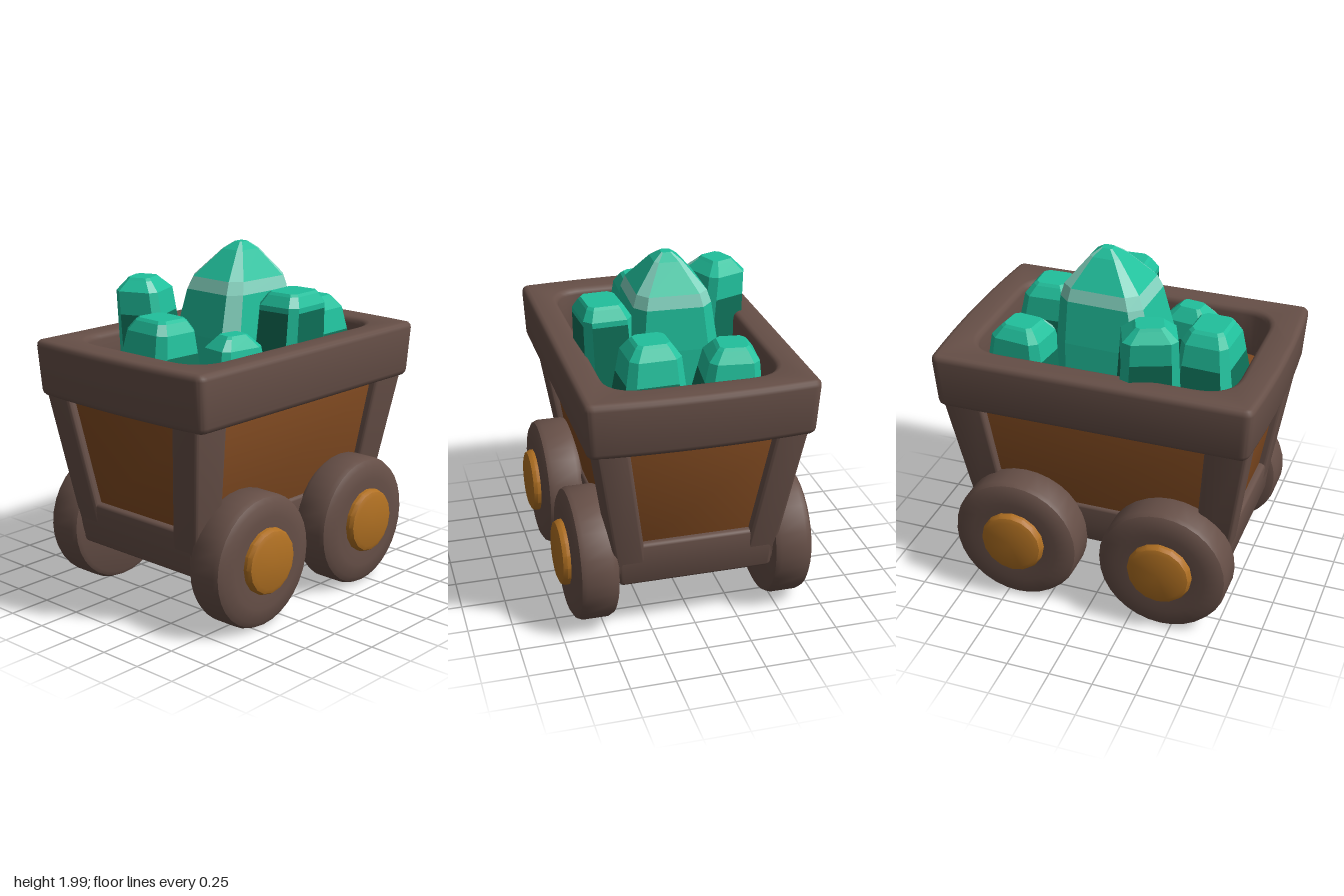
import * as THREE from 'three';
import { mergeVertices, toCreasedNormals } from 'three/addons/utils/BufferGeometryUtils.js';
import { RoundedBoxGeometry } from 'three/addons/geometries/RoundedBoxGeometry.js';

const mat = (name, color) => {
  const m = new THREE.MeshStandardMaterial({ color });
  m.name = name;
  return m;
};

const add = (parent, name, geometry, material) => {
  const mesh = new THREE.Mesh(geometry, material);
  mesh.name = name;
  parent.add(mesh);
  return mesh;
};

function smooth(geometry, angle = 0.7) {
  geometry.deleteAttribute('normal');
  geometry.deleteAttribute('uv');
  return toCreasedNormals(mergeVertices(geometry, 1e-4), angle);
}

// Rounded block between two rectangles, each [xMin, xMax, zMin, zMax]
function taperedBlock(y0, y1, low, high, radius) {
  const g = new RoundedBoxGeometry(high[1] - high[0], y1 - y0, high[3] - high[2], 3, radius);
  const p = g.attributes.position;
  const w = high[1] - high[0], d = high[3] - high[2];
  for (let i = 0; i < p.count; i++) {
    const t = p.getY(i) / (y1 - y0) + 0.5;
    const r = low.map((v, k) => v + (high[k] - v) * t);
    const u = p.getX(i) / w + 0.5, v = p.getZ(i) / d + 0.5;
    p.setXYZ(i, r[0] + (r[1] - r[0]) * u, y0 + (y1 - y0) * t, r[2] + (r[3] - r[2]) * v);
  }
  return smooth(g);
}

// Thick rim with softly bowed ends and a rounded opening
function rimGeometry() {
  const s = new THREE.Shape();
  s.moveTo(-0.86, -0.64);
  s.lineTo(0.86, -0.64);
  s.quadraticCurveTo(0.91, -0.64, 0.915, -0.59);
  s.quadraticCurveTo(0.965, 0, 0.915, 0.59);
  s.quadraticCurveTo(0.91, 0.64, 0.86, 0.64);
  s.lineTo(-0.86, 0.64);
  s.quadraticCurveTo(-0.91, 0.64, -0.915, 0.59);
  s.quadraticCurveTo(-0.965, 0, -0.915, -0.59);
  s.quadraticCurveTo(-0.91, -0.64, -0.86, -0.64);
  const h = new THREE.Path(), x = 0.75, z = 0.475, r = 0.2;
  h.moveTo(-x + r, -z);
  h.lineTo(x - r, -z);
  h.quadraticCurveTo(x, -z, x, -z + r);
  h.lineTo(x, z - r);
  h.quadraticCurveTo(x, z, x - r, z);
  h.lineTo(-x + r, z);
  h.quadraticCurveTo(-x, z, -x, z - r);
  h.lineTo(-x, -z + r);
  h.quadraticCurveTo(-x, -z, -x + r, -z);
  s.holes.push(h);
  const b = 0.035;
  const g = new THREE.ExtrudeGeometry(s, {
    depth: 0.32 - 2 * b, bevelThickness: b, bevelSize: b, bevelOffset: -b, bevelSegments: 3, curveSegments: 8,
  });
  g.rotateX(-Math.PI / 2).translate(0, 1.18 + b, 0);
  // Narrow slightly toward the bottom
  const p = g.attributes.position;
  for (let i = 0; i < p.count; i++) {
    const k = 1 - 0.025 * (1.5 - p.getY(i)) / 0.32;
    p.setX(i, p.getX(i) * k);
    p.setZ(i, p.getZ(i) * k);
  }
  return smooth(g);
}

// Faceted crystal from chamfered square rings; levels are [y, scale],
// shade(level, side) picks a material index, odd sides are the chamfers
function crystalGeometry({ base, top, half, turn = 0, levels, shade }) {
  const c = 0.72;
  const square = [[1, -c], [1, c], [c, 1], [-c, 1], [-1, c], [-1, -c], [-c, -1], [c, -1]];
  const y0 = levels[0][0], y1 = levels[levels.length - 1][0];
  const rings = levels.map(([y, s]) => {
    const t = (y - y0) / (y1 - y0);
    const cx = base[0] + (top[0] - base[0]) * t, cz = base[1] + (top[1] - base[1]) * t;
    return square.map(([u, v]) => {
      const x = u * half[0] * s, z = v * half[1] * s;
      return [cx + x * Math.cos(turn) + z * Math.sin(turn), y, cz - x * Math.sin(turn) + z * Math.cos(turn)];
    });
  });
  const faces = [[], [], []];
  for (let k = 0; k < rings.length - 1; k++) {
    for (let j = 0; j < 8; j++) {
      const n = (j + 1) % 8, lo = rings[k], up = rings[k + 1];
      faces[shade(k, j)].push(...lo[j], ...up[j], ...lo[n], ...lo[n], ...up[j], ...up[n]);
    }
  }
  const cap = rings[rings.length - 1];
  for (let j = 1; j < 7; j++) faces[0].push(...cap[0], ...cap[j + 1], ...cap[j]);
  const g = new THREE.BufferGeometry();
  g.setAttribute('position', new THREE.Float32BufferAttribute(faces.flat(), 3));
  let start = 0;
  faces.forEach((f, i) => {
    g.addGroup(start, f.length / 3, i);
    start += f.length / 3;
  });
  g.computeVertexNormals();
  return g;
}

export function createModel() {
  const group = new THREE.Group();
  group.name = 'crystalCart';
  const frame = mat('darkWood', 0x664f47);
  const panel = mat('orangeWood', 0x7f4920);
  const brass = mat('brass', 0xb07022);
  const gems = [mat('teal', 0x20c09c), mat('deepTeal', 0x0e7058), mat('paleTeal', 0x84d4c0)];

  // Cart body
  add(group, 'rim', rimGeometry(), frame);
  add(group, 'panels', taperedBlock(0.45, 1.22, [-0.72, 0.72, -0.42, 0.42], [-0.84, 0.84, -0.535, 0.535], 0.01), panel);
  add(group, 'base', taperedBlock(0.32, 0.58, [-0.76, 0.76, -0.435, 0.435], [-0.78, 0.78, -0.46, 0.46], 0.03), frame);
  for (const sx of [1, -1]) {
    for (const sz of [1, -1]) {
      const rect = (x0, x1, z0, z1) => [
        ...[x0 * sx, x1 * sx].sort((a, b) => a - b),
        ...[z0 * sz, z1 * sz].sort((a, b) => a - b),
      ];
      add(group, 'cornerPost',
        taperedBlock(0.36, 1.26, rect(0.56, 0.755, 0.27, 0.445), rect(0.65, 0.892, 0.405, 0.59), 0.025), frame);
    }
  }

  // Wheels with brass hubs
  const lathe = (pts, n) => smooth(new THREE.LatheGeometry(pts.map(([r, y]) => new THREE.Vector2(r, y)), n).rotateX(Math.PI / 2), 0.6);
  const wheelGeo = lathe([[0, 0], [0.34, 0], [0.363, 0.012], [0.377, 0.04], [0.377, 0.185], [0.365, 0.212],
    [0.335, 0.23], [0.26, 0.24], [0.19, 0.235], [0, 0.235]], 32);
  const hubGeo = lathe([[0, 0.2], [0.187, 0.2], [0.187, 0.255], [0.175, 0.277], [0.15, 0.287], [0, 0.287]], 16);
  for (const x of [-0.44, 0.44]) {
    for (const sz of [1, -1]) {
      const wheel = new THREE.Group();
      wheel.name = 'wheel';
      add(wheel, 'tyre', wheelGeo, frame);
      add(wheel, 'hub', hubGeo, brass).position.y = 0.015;
      wheel.position.set(x, 0.385, sz * 0.44);
      if (sz < 0) wheel.rotation.y = Math.PI;
      group.add(wheel);
    }
  }

  // Large pointed crystal with pale worn edges
  add(group, 'largeCrystal', crystalGeometry({
    base: [0.02, -0.02], top: [0.1, 0], half: [0.31, 0.275], turn: -0.04,
    levels: [[1.18, 1], [1.5, 0.91], [1.74, 0.79], [1.81, 0.71], [1.96, 0.28], [2, 0.1]],
    shade: (k, j) => (k === 2 || (k >= 3 && j % 2) || (k < 3 && (j === 3 || j === 5)) ? 2 : 0),
  }), gems);

  // Smaller blunt crystals: base, top, half sizes, turn, top height, shade line, shoulder and top scale
  const small = [
    [[-0.25, -0.34], [-0.28, -0.41], [0.18, 0.155], 0.38, 1.8, 1.6, 0.82, 0.42],
    [[-0.53, -0.05], [-0.515, -0.03], [0.2, 0.24], -0.06, 1.65, 1.46, 0.68, 0.44],
    [[-0.29, 0.29], [-0.3, 0.3], [0.2, 0.155], -0.15, 1.57, 1.4, 0.68, 0.32],
    [[0.11, 0.335], [0.12, 0.37], [0.185, 0.155], 0.05, 1.76, 1.66, 0.88, 0.6],
    [[0.54, 0.21], [0.5, 0.19], [0.2, 0.205], 0.03, 1.66, 1.46, 0.7, 0.42],
    [[0.51, -0.225], [0.51, -0.26], [0.21, 0.195], -0.12, 1.6, 1.42, 0.7, 0.4],
  ];
  for (const [base, top, half, turn, height, line, shoulder, tip] of small) {
    const mid = 1 - (1 - shoulder) * (line - 1.15) / (height - 0.07 - 1.15);
    add(group, 'smallCrystal', crystalGeometry({
      base, top, half, turn,
      levels: [[1.15, 1], [line, mid], [height - 0.07, shoulder], [height - 0.015, tip + 0.08], [height, tip]],
      shade: (k, j) => (k === 0 && j % 2 === 0 ? 1 : k === 2 && j === 3 ? 2 : 0),
    }), gems);
  }
  return group;
}
